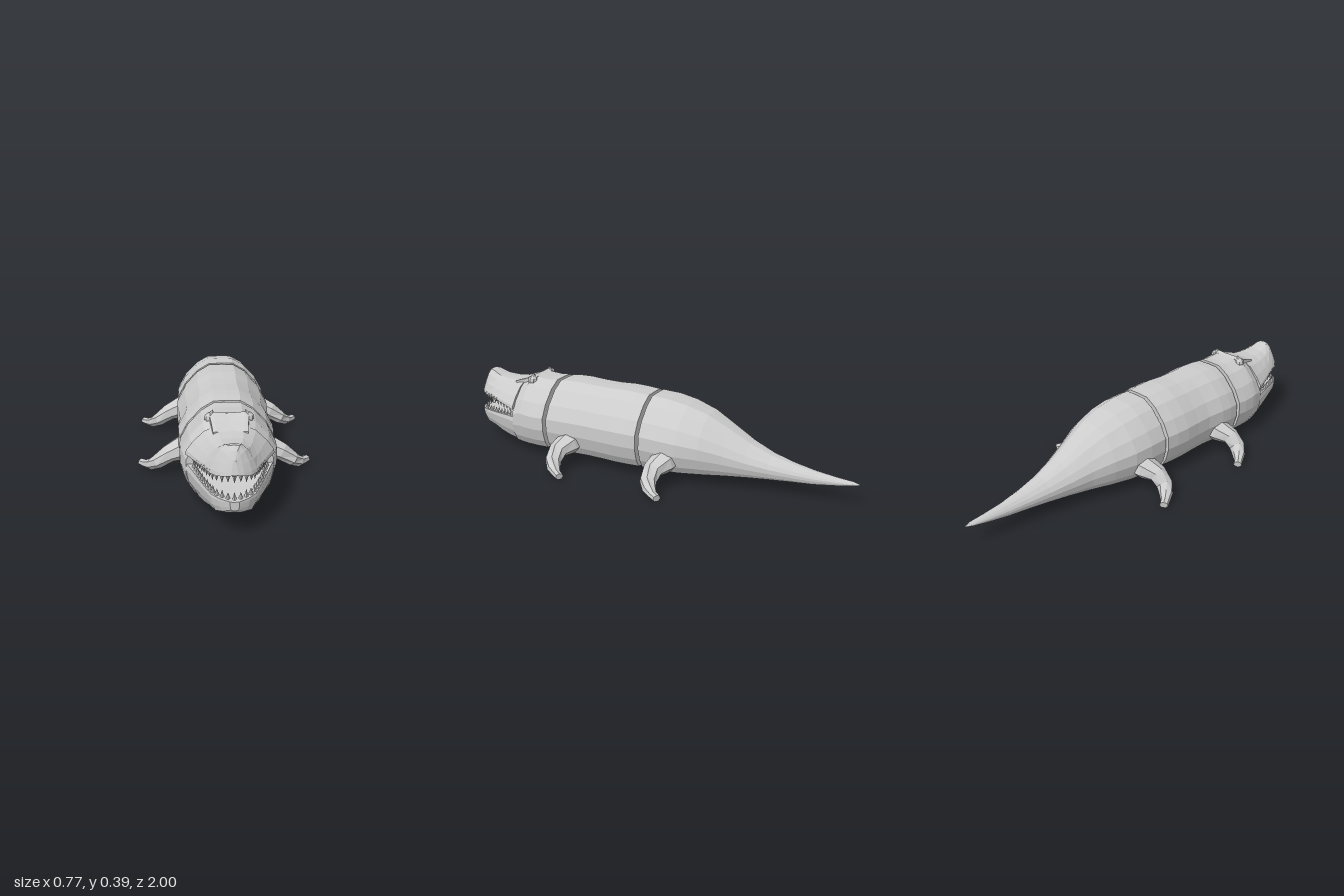
import * as THREE from 'three';

const skin = new THREE.MeshStandardMaterial({ color: 0xcccccc, flatShading: true });

// Skin a list of closed rings (counter-clockwise about the travel direction), with fan caps
function loft(name, rings) {
  const pos = [];
  const tri = (a, b, c) => [a, b, c].forEach(p => pos.push(p.x, p.y, p.z));
  const n = rings[0].length;
  for (let i = 0; i < rings.length - 1; i++) {
    for (let j = 0; j < n; j++) {
      const k = (j + 1) % n;
      const a = rings[i][j], b = rings[i][k], c = rings[i + 1][j], d = rings[i + 1][k];
      tri(a, b, c);
      tri(b, d, c);
    }
  }
  [rings[0], rings[rings.length - 1]].forEach((ring, end) => {
    const mid = ring.reduce((s, p) => s.add(p), new THREE.Vector3()).divideScalar(n);
    for (let j = 0; j < n; j++) {
      const a = ring[j], b = ring[(j + 1) % n];
      if (end) tri(mid, a, b); else tri(mid, b, a);
    }
  });
  const geo = new THREE.BufferGeometry();
  geo.setAttribute('position', new THREE.Float32BufferAttribute(pos, 3));
  geo.computeVertexNormals();
  const mesh = new THREE.Mesh(geo, skin);
  mesh.name = name;
  return mesh;
}

// Right halves of the cross-sections: x as a share of half width, y as a share of height
const fullHalf = [[0, 0], [0.5, 0], [0.8, 0.03], [0.92, 0.15], [1, 0.33], [0.99, 0.52],
  [0.83, 0.71], [0.55, 0.9], [0.28, 1], [0, 1.005]];
const upperHalf = [[0, 0], [0.85, 0.03], [1, 0], [0.98, 0.14], [0.82, 0.46], [0.58, 0.8], [0.32, 0.98], [0, 1]];
const lowerHalf = [[0, 0], [0.5, 0.02], [0.8, 0.12], [0.94, 0.45], [1, 0.85], [0.97, 1], [0, 0.97]];

// One mirrored ring; section = [z, half width, bottom, top, backward lean of the top]
function ring(half, [z, w, b, t, lean = 0]) {
  const mirrored = half.slice(1, -1).reverse().map(([x, y]) => [-x, y]);
  return [...half, ...mirrored].map(([x, y]) =>
    new THREE.Vector3(x * w, b + y * (t - b), z - lean * y));
}
const hull = (name, half, sections) => loft(name, sections.map(s => ring(half, s)));

// Bent leg: tapering seven-sided limb, foot sweeping outward and back
function leg(name, side, dz) {
  const stations = [[0.13, 0.115, 0.365, 0.06], [0.195, 0.11, 0.37, 0.058], [0.25, 0.092, 0.388, 0.044],
    [0.295, 0.056, 0.388, 0.036], [0.325, 0.033, 0.365, 0.029], [0.35, 0.022, 0.335, 0.02],
    [0.371, 0.018, 0.303, 0.018]];
  const pts = stations.map(([x, y, z]) => new THREE.Vector3(x * side, y, z + dz));
  const rings = pts.map((p, i) => {
    const t = pts[Math.min(i + 1, pts.length - 1)].clone().sub(pts[Math.max(i - 1, 0)]).normalize();
    const u = new THREE.Vector3(0, 1, 0).addScaledVector(t, -t.y).normalize();
    const v = t.clone().cross(u);
    const r = stations[i][3];
    return Array.from({ length: 7 }, (_, k) => {
      const a = k / 7 * Math.PI * 2;
      const q = p.clone().addScaledVector(u, Math.cos(a) * r * 0.88).addScaledVector(v, Math.sin(a) * r * 1.1);
      q.y = Math.max(q.y, 0.001);
      return q;
    });
  });
  return loft(name, rings);
}

// Row of small pointed teeth around a jaw; dir = -1 hangs down, +1 stands up
function teeth(name, half, dir) {
  const row = new THREE.Group();
  row.name = name;
  const left = half.map(p => new THREE.Vector3(...p));
  const right = left.slice(0, -1).reverse().map(p => new THREE.Vector3(-p.x, p.y, p.z));
  const curve = new THREE.CatmullRomCurve3([...left, ...right]);
  const geo = new THREE.ConeGeometry(0.012, 0.042, 4);
  if (dir < 0) geo.rotateX(Math.PI);
  const count = 25;
  for (let i = 0; i < count; i++) {
    const tooth = new THREE.Mesh(geo, skin);
    tooth.name = 'tooth';
    tooth.position.copy(curve.getPointAt(i / (count - 1)));
    tooth.position.y += dir * 0.011;
    tooth.scale.y = i % 2 ? 0.85 : 1.05;
    row.add(tooth);
  }
  return row;
}

export function createModel() {
  const model = new THREE.Group();
  model.name = 'crocodile';

  // Three separate trunk pieces with narrow gaps between them
  model.add(hull('tail', fullHalf, [
    [-1, 0.003, 0.1, 0.106], [-0.97, 0.014, 0.096, 0.112], [-0.9, 0.022, 0.085, 0.117],
    [-0.8, 0.034, 0.073, 0.128], [-0.7, 0.05, 0.069, 0.146], [-0.6, 0.07, 0.065, 0.172],
    [-0.5, 0.096, 0.061, 0.213], [-0.4, 0.126, 0.056, 0.268], [-0.3, 0.165, 0.052, 0.32],
    [-0.2, 0.195, 0.048, 0.351], [-0.11, 0.203, 0.045, 0.367], [-0.018, 0.2, 0.044, 0.371]]));
  model.add(hull('body', fullHalf, [
    [0, 0.2, 0.043, 0.371], [0.06, 0.207, 0.043, 0.375], [0.13, 0.208, 0.043, 0.377],
    [0.21, 0.201, 0.043, 0.373], [0.29, 0.198, 0.043, 0.374], [0.38, 0.207, 0.043, 0.378],
    [0.44, 0.206, 0.043, 0.376], [0.49, 0.2, 0.043, 0.37]]));
  model.add(hull('head', fullHalf, [
    [0.51, 0.2, 0.043, 0.37], [0.56, 0.203, 0.043, 0.366], [0.62, 0.2, 0.043, 0.37],
    [0.65, 0.194, 0.043, 0.374], [0.68, 0.186, 0.044, 0.355], [0.705, 0.178, 0.045, 0.344]]));

  // Jaws, parted to show the teeth
  model.add(hull('upperJaw', upperHalf, [
    [0.7, 0.18, 0.222, 0.345], [0.75, 0.16, 0.228, 0.337], [0.81, 0.138, 0.235, 0.333],
    [0.87, 0.114, 0.242, 0.338], [0.93, 0.09, 0.243, 0.358, 0.01], [0.962, 0.068, 0.246, 0.36, 0.022],
    [0.985, 0.036, 0.253, 0.345, 0.026], [0.993, 0.012, 0.258, 0.315, 0.016]]));
  model.add(hull('lowerJaw', lowerHalf, [
    [0.7, 0.18, 0.045, 0.182], [0.76, 0.158, 0.046, 0.178], [0.82, 0.135, 0.056, 0.171],
    [0.88, 0.112, 0.074, 0.165], [0.94, 0.087, 0.083, 0.16], [0.975, 0.058, 0.098, 0.158],
    [1, 0.018, 0.118, 0.155]]));
  model.add(teeth('upperTeeth',
    [[0.146, 0.23, 0.74], [0.122, 0.237, 0.82], [0.098, 0.243, 0.885], [0.066, 0.246, 0.945], [0, 0.252, 0.975]], -1));
  model.add(teeth('lowerTeeth',
    [[0.146, 0.176, 0.735], [0.12, 0.169, 0.82], [0.095, 0.162, 0.885], [0.064, 0.158, 0.945], [0, 0.154, 0.98]], 1));

  // Brow ridge joining the eyes
  const brow = hull('browRidge', [[0, 0], [1, 0], [1, 0.9], [0.8, 1], [0, 0.9]], [
    [0.625, 0.078, 0.335, 0.372], [0.645, 0.082, 0.335, 0.38], [0.69, 0.075, 0.335, 0.356],
    [0.75, 0.07, 0.32, 0.336]]);
  model.add(brow);

  for (const [label, side] of [['left', 1], ['right', -1]]) {
    // Bulging eye under a small peaked lid
    const eye = new THREE.Mesh(new THREE.SphereGeometry(0.024, 8, 6), skin);
    eye.name = label + 'Eye';
    eye.position.set(side * 0.077, 0.354, 0.642);
    model.add(eye);
    const lid = new THREE.Mesh(new THREE.ConeGeometry(0.024, 0.032, 5), skin);
    lid.name = label + 'Eyelid';
    lid.position.set(side * 0.07, 0.374, 0.642);
    lid.rotation.z = side * 0.25;
    model.add(lid);

    model.add(leg(label + 'FrontLeg', side, 0));
    model.add(leg(label + 'HindLeg', side, -0.51));
  }
  return model;
}
